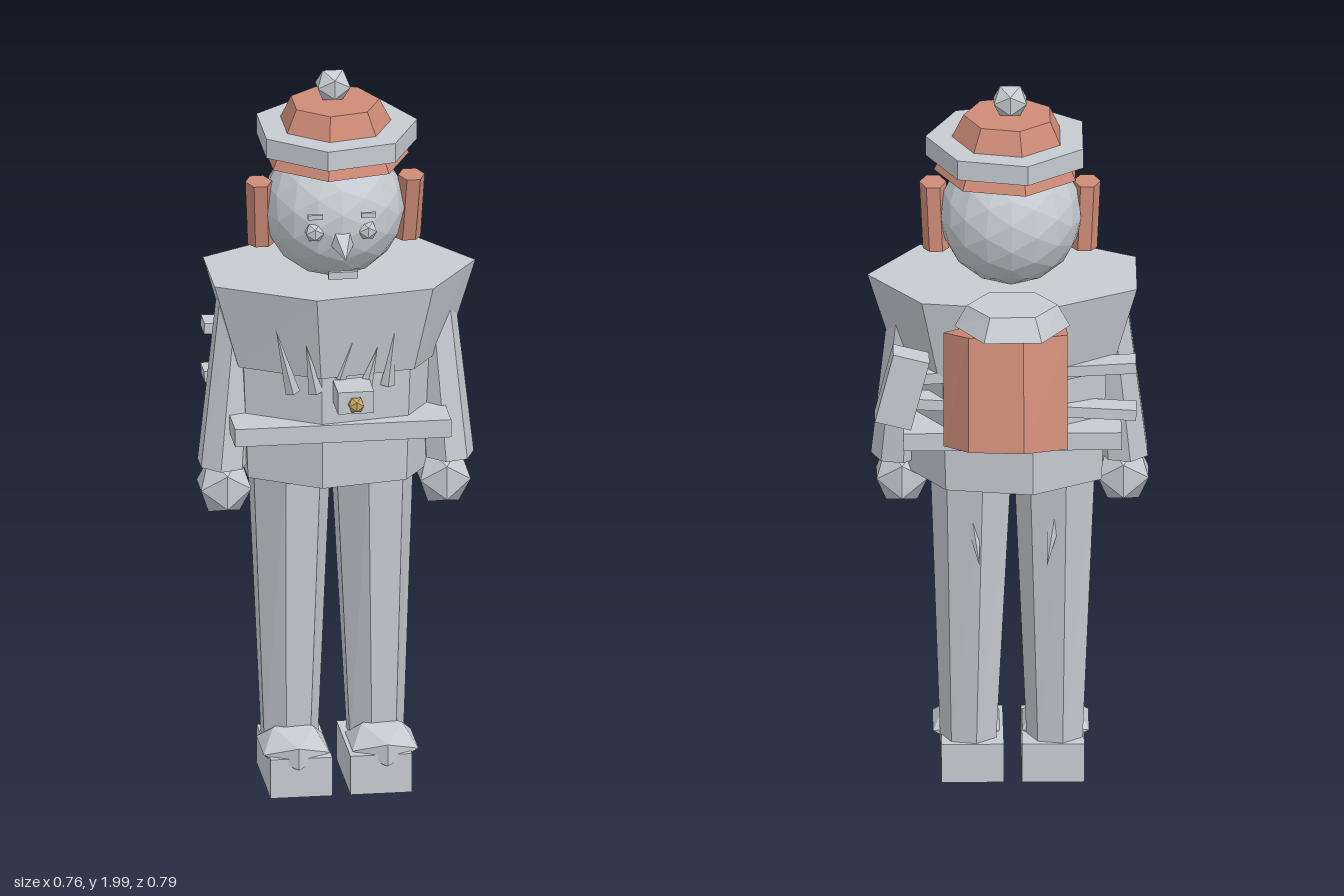
import * as THREE from 'three';

export function createModel() {
  const model = new THREE.Group();
  const make = (name, color) => new THREE.MeshStandardMaterial({ name, color, flatShading: true });
  const grey = make('pale grey', 0xc6cbd1);
  const red = make('clay red', 0xcd8b77);
  const brass = make('brass', 0xc4a867);

  function add(name, geo, mat, pos, rot = [0, 0, 0], scale = [1, 1, 1]) {
    const mesh = new THREE.Mesh(geo, mat);
    mesh.name = name;
    mesh.position.set(...pos);
    mesh.rotation.set(...rot);
    mesh.scale.set(...scale);
    model.add(mesh);
    return mesh;
  }
  const box = (name, mat, size, pos, rot) => add(name, new THREE.BoxGeometry(...size), mat, pos, rot);
  const ball = (name, mat, size, pos, detail = 0) =>
    add(name, new THREE.IcosahedronGeometry(1, detail), mat, pos, [0, 0, 0], size);

  // Faceted prism between two levels, each given as [x, y, z, radiusX, radiusZ]
  function prism(name, mat, low, high, sides = 7) {
    const geo = new THREE.CylinderGeometry(1, 1, 1, sides, 1, false, Math.PI / 2);
    const p = geo.attributes.position;
    for (let i = 0; i < p.count; i++) {
      const [x, y, z, rx, rz] = p.getY(i) > 0 ? high : low;
      p.setXYZ(i, x + p.getX(i) * rx, y, z + p.getZ(i) * rz);
    }
    geo.computeVertexNormals();
    return add(name, geo, mat, [0, 0, 0]);
  }
  const shard = (name, pos, rot, length) =>
    add(name, new THREE.ConeGeometry(0.02, length, 4), grey, pos, rot, [1, 1, 0.7]);

  // Legs, boots, arms and hands
  for (const s of [-1, 1]) {
    const side = s > 0 ? 'left' : 'right';
    const bx = -0.01 + s * 0.108;
    box(side + 'Boot', grey, [0.167, 0.11, 0.28], [bx, 0.055, 0.12]);
    ball(side + 'ToeCap', grey, [0.105, 0.058, 0.145], [-0.006 + s * 0.12, 0.112, 0.15]);
    prism(side + 'Leg', grey, [-0.01 + s * 0.116, 0.08, 0.065, 0.078, 0.08],
      [-0.015 + s * 0.112, 0.92, 0.065, 0.115, 0.145]);
    prism(side + 'Arm', grey, [-0.005 + s * 0.305, 0.91, 0.1, 0.07, 0.085],
      [s * 0.262, 1.41, 0.055, 0.055, 0.07]);
    ball(side + 'Hand', grey, [0.08, 0.09, 0.088], [-0.01 + s * 0.297, 0.848, 0.105]);
    shard(side + 'TrouserFold', [s * 0.1 - 0.01, 0.71, -0.06], [Math.PI + 0.25, 0, s * 0.15], 0.13);
  }

  // Coat
  prism('coatSkirt', grey, [0, 0.88, 0.06, 0.275, 0.207], [0, 1.22, 0.06, 0.29, 0.215]);
  prism('coatChest', grey, [0, 1.2, 0.06, 0.305, 0.225], [0, 1.44, 0.06, 0.38, 0.27]);
  box('belt', grey, [0.585, 0.05, 0.43], [-0.007, 1.04, 0.06]);
  box('buckle', grey, [0.098, 0.062, 0.14], [0.016, 1.158, 0.292]);
  ball('button', brass, [0.024, 0.024, 0.022], [0.015, 1.155, 0.37]);

  // Creases standing out of the chest
  [[-0.165, 1.25, 0.25, 0.2], [-0.095, 1.23, 0.2, 0.15], [0.01, 1.28, -0.3, 0.18],
    [0.07, 1.22, -0.25, 0.13], [0.125, 1.24, -0.1, 0.16]].forEach(([x, y, tilt, len]) =>
    shard('chestCrease', [x, y, 0.285 - Math.abs(x + 0.05) * 0.17], [0.15, 0, tilt], len));

  // Head and face
  ball('head', grey, [0.192, 0.19, 0.195], [-0.005, 1.615, 0.06], 2);
  for (const s of [-1, 1]) {
    const side = s > 0 ? 'left' : 'right';
    const x = -0.008 + s * 0.072;
    ball(side + 'Eye', grey, [0.028, 0.028, 0.026], [x, 1.603, 0.235]);
    box(side + 'Eyebrow', grey, [0.04, 0.013, 0.009], [x, 1.655, 0.256]);
    const flap = prism(side + 'EarFlap', red, [s * 0.199, 1.515, 0.062, 0.035, 0.032],
      [s * 0.207, 1.7, 0.08, 0.036, 0.052], 6);
    flap.position.x = -0.003;
  }
  add('nose', new THREE.ConeGeometry(0.042, 0.1, 5), grey, [-0.005, 1.566, 0.268], [Math.PI / 2 + 0.35, 0, 0]);
  box('mouth', grey, [0.08, 0.02, 0.012], [-0.005, 1.487, 0.258]);

  // Hat
  prism('hatCrown', red, [0.002, 1.75, 0.045, 0.2, 0.205], [0, 1.907, 0.045, 0.122, 0.126]);
  prism('hatBand', grey, [0.002, 1.79, 0.048, 0.222, 0.23], [0.002, 1.845, 0.048, 0.222, 0.23]);
  ball('pompom', grey, [0.052, 0.05, 0.052], [-0.003, 1.95, 0.037]);

  // Backpack, flap, back straps and canteen
  const pack = prism('backpack', red, [0, -0.155, 0, 0.175, 0.128], [0, 0.155, 0, 0.175, 0.108]);
  pack.position.set(0.005, 1.232, -0.25);
  pack.rotation.x = 0.2;
  prism('packFlap', grey, [-0.005, 1.405, -0.225, 0.155, 0.148], [-0.005, 1.465, -0.225, 0.122, 0.105], 6);
  [[1.12, 0.06], [1.22, -0.05]].forEach(([y, tilt]) =>
    box('backStrap', grey, [0.67, 0.03, 0.07], [-0.005, y, -0.085], [0, 0, tilt]));
  box('canteen', grey, [0.1, 0.2, 0.08], [0.29, 1.2, -0.155], [0, 0, 0.25]);

  return model;
}
